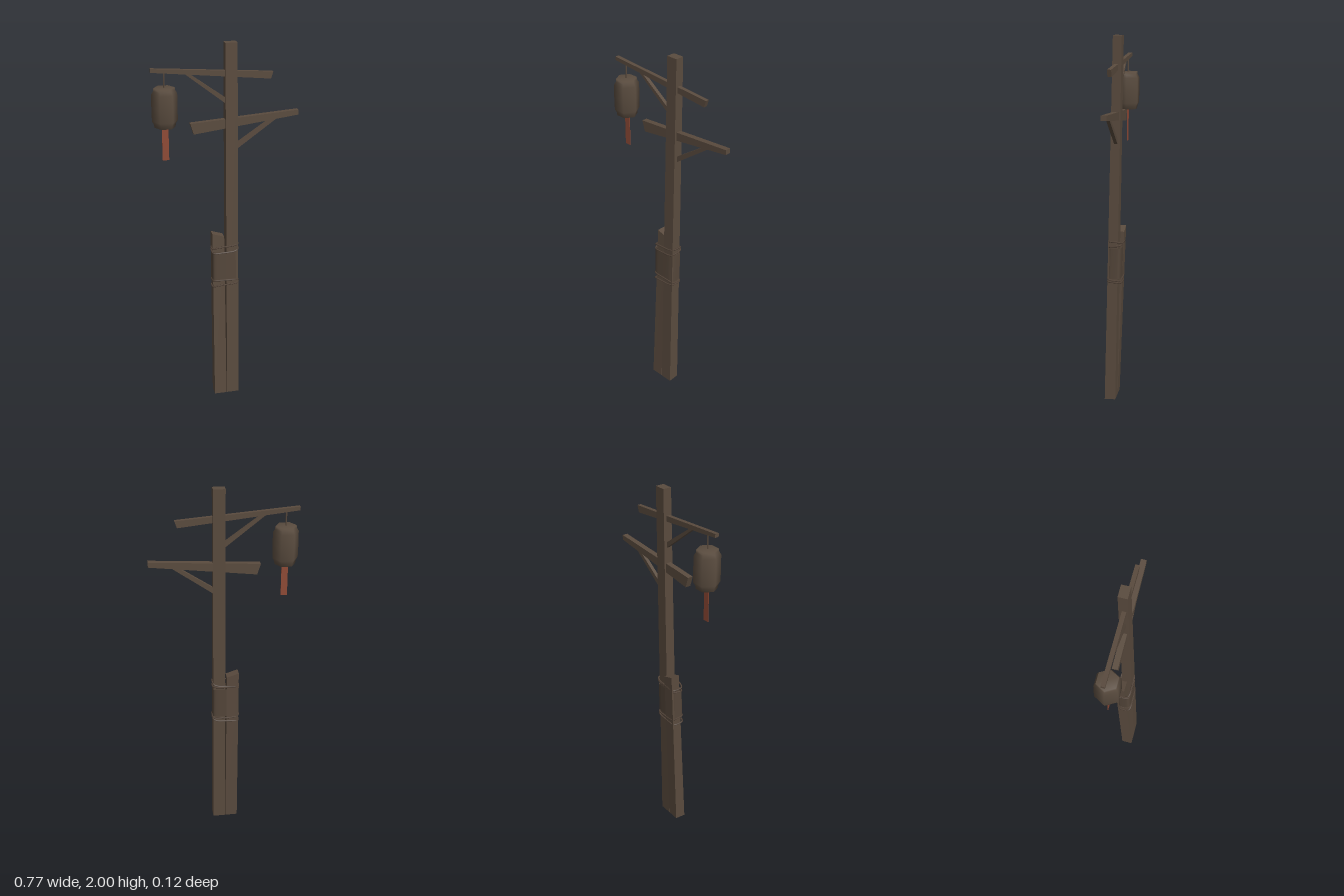
import * as THREE from 'three';

export function createModel() {
  const model = new THREE.Group();
  const mat = (name, color) => {
    const m = new THREE.MeshStandardMaterial({ color, side: THREE.DoubleSide });
    m.name = name;
    return m;
  };
  const wood = mat('weathered wood', 0x5a4b3e);
  const cloth = mat('wrap cloth', 0x54463a);
  const rope = mat('rope', 0x54453a);
  const paper = mat('lantern paper', 0x5a4c3f);
  const red = mat('faded red', 0x8f4a36);

  const add = (name, geo, material, x = 0, y = 0, z = 0) => {
    const mesh = new THREE.Mesh(geo, material);
    mesh.name = name;
    mesh.position.set(x, y, z);
    model.add(mesh);
    return mesh;
  };

  // Leaning post: a unit box whose ends are set from [x0, x1, z0, z1] and heights
  const post = (name, base, top, yBase, yTopLeft, yTopRight) => {
    const g = new THREE.BoxGeometry(1, 1, 1).toNonIndexed();
    const p = g.attributes.position;
    for (let i = 0; i < p.count; i++) {
      const e = p.getY(i) > 0 ? top : base;
      const right = p.getX(i) > 0, front = p.getZ(i) > 0;
      const y = p.getY(i) > 0 ? (right ? yTopRight : yTopLeft) : (front ? 0 : yBase);
      p.setXYZ(i, right ? e[1] : e[0], y, front ? e[3] : e[2]);
    }
    g.computeVertexNormals();
    add(name, g, wood);
  };
  post('mainPole', [-0.009, 0.059, 0, 0.06], [-0.007, 0.055, -0.034, 0.012], 0.004, 2, 2);
  post('supportPost', [-0.08, -0.012, 0, 0.06], [-0.079, -0.014, -0.036, 0.012], 0.004, 0.978, 0.957);

  // Beams and braces: outlines in the front plane with a depth in z
  const plank = (name, points, z0, z1) => {
    const shape = new THREE.Shape(points.map(([x, y]) => new THREE.Vector2(x, y)));
    add(name, new THREE.ExtrudeGeometry(shape, { depth: z1 - z0, bevelEnabled: false }), wood, 0, 0, z0);
  };
  plank('upperBeam', [[-0.385, 1.869], [0.232, 1.807], [0.244, 1.843], [-0.385, 1.888]], -0.015, 0.006);
  plank('lowerBeam', [[-0.172, 1.54], [0.383, 1.61], [0.383, 1.636], [-0.19, 1.597]], -0.019, 0.01);
  plank('upperBrace', [[-0.238, 1.873], [0.01, 1.68], [0.01, 1.71], [-0.2, 1.86]], -0.014, 0.005);
  plank('lowerBrace', [[0.045, 1.438], [0.272, 1.6], [0.235, 1.597], [0.045, 1.47]], -0.012, 0.006);

  // Rounded rectangle around both posts; it follows their lean
  const CX = -0.011, RX = 0.071, RZ = 0.036;
  const zAt = (y) => 0.03 - 0.0285 * y;
  const ring = (t, y, grow = 0) => {
    const pw = (v) => Math.sign(v) * Math.abs(v) ** 0.4;
    return new THREE.Vector3(CX + (RX + grow) * pw(Math.cos(t)), y, zAt(y) + (RZ + grow) * pw(Math.sin(t)));
  };

  // Cloth wrap
  const wrap = new THREE.CylinderGeometry(1, 1, 1, 40, 1, true);
  const wp = wrap.attributes.position;
  for (let i = 0; i < wp.count; i++) {
    const v = ring(Math.atan2(wp.getZ(i), wp.getX(i)), wp.getY(i) > 0 ? 0.88 : 0.71);
    wp.setXYZ(i, v.x, v.y, v.z);
  }
  wrap.computeVertexNormals();
  add('clothWrap', wrap, cloth);

  // Rope loops, each a little slanted
  [[0.905, 0.012, 0.004], [0.885, 0.008, -0.01], [0.705, -0.004, 0.008], [0.681, 0.01, 0.004]].forEach(([y, sx, sz], i) => {
    const pts = [];
    for (let k = 0; k < 32; k++) {
      const t = (k / 32) * Math.PI * 2;
      pts.push(ring(t, y + sx * Math.cos(t) + sz * Math.sin(t), 0));
    }
    add(`rope${i + 1}`, new THREE.TubeGeometry(new THREE.CatmullRomCurve3(pts, true), 64, 0.0045, 5, true), rope);
  });

  // Six-sided lantern with recessed ends, softly shaded around its body
  const LX = -0.317, LZ = -0.003;
  const profile = [[0, 1.605], [0.045, 1.605], [0.048, 1.586], [0.054, 1.586], [0.056, 1.602], [0.066, 1.62],
    [0.067, 1.69], [0.066, 1.758], [0.056, 1.774], [0.054, 1.789], [0, 1.789]];
  const body = new THREE.LatheGeometry(profile.map(([r, y]) => new THREE.Vector2(r, y)), 6, Math.PI / 2);
  add('lantern', body, paper, LX, 0, LZ);
  add('lanternHanger', new THREE.CylinderGeometry(0.004, 0.004, 0.09, 6), wood, LX, 1.829, LZ);

  // Flat ribbon below the lantern
  add('ribbon', new THREE.BoxGeometry(0.034, 0.195, 0.003), red, LX, 1.507, LZ);

  return model;
}
